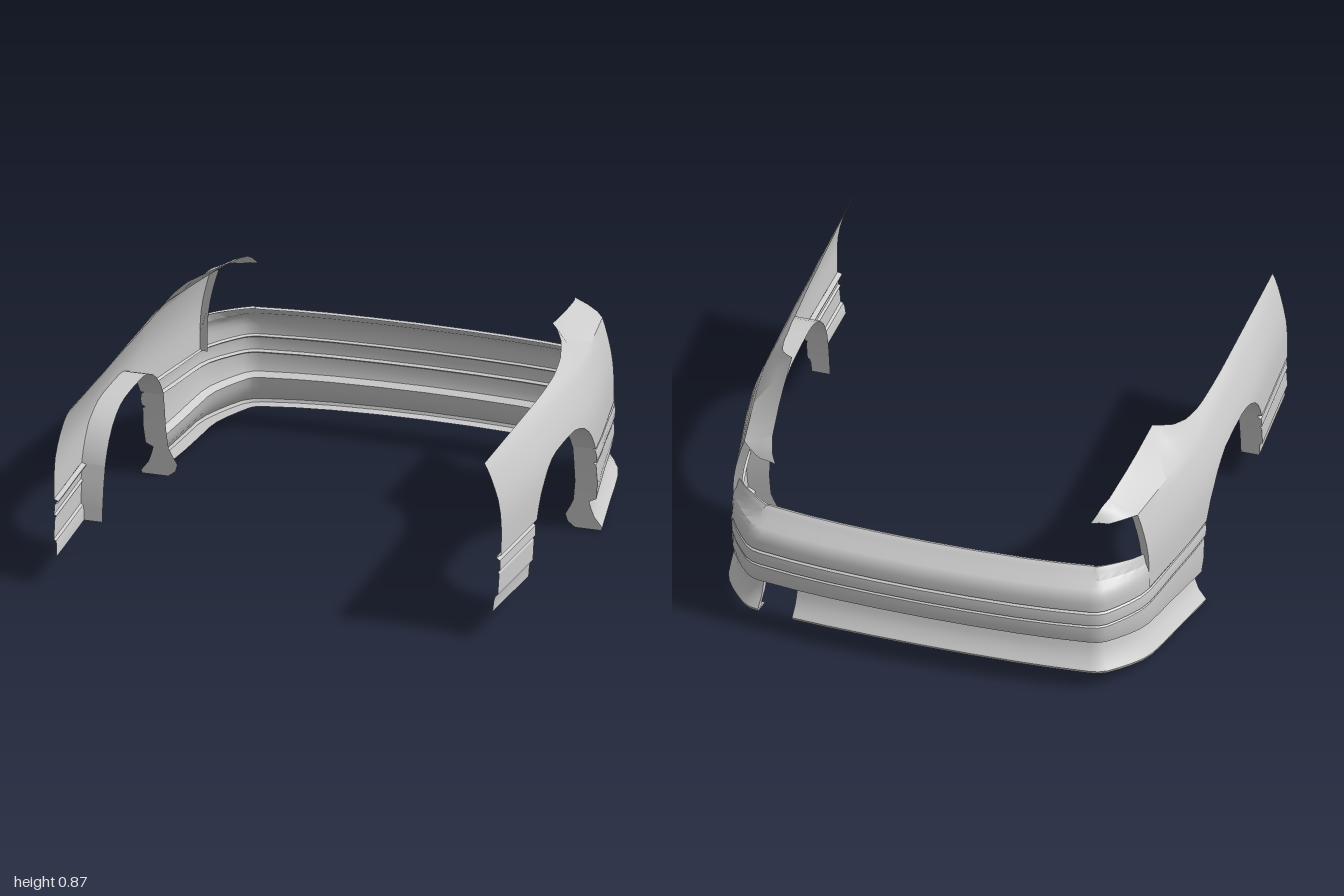
import * as THREE from 'three';
import { toCreasedNormals } from 'three/addons/utils/BufferGeometryUtils.js';

const material = new THREE.MeshStandardMaterial({ color: 0xcccccc, side: THREE.DoubleSide });

// piecewise linear lookup in an ascending table of [key, value]
function look(table, k) {
  if (k <= table[0][0]) return table[0][1];
  for (let i = 1; i < table.length; i++) {
    const [a, u] = table[i - 1], [b, v] = table[i];
    if (k <= b) return u + (v - u) * (k - a) / (b - a);
  }
  return table[table.length - 1][1];
}

// skin a list of cross-sections, each a list of [x, y, z]; mirror flips x
function skin(name, sections, mirror = 1, crease = 0.6) {
  const n = sections[0].length, index = [];
  for (let i = 0; i < sections.length - 1; i++) {
    for (let j = 0; j < n - 1; j++) {
      const a = i * n + j, b = a + n;
      if (mirror > 0) index.push(a, b, a + 1, b, b + 1, a + 1);
      else index.push(a, a + 1, b, b, a + 1, b + 1);
    }
  }
  const pos = sections.flat().flatMap(([x, y, z]) => [x * mirror, y, z]);
  const geo = new THREE.BufferGeometry();
  geo.setAttribute('position', new THREE.Float32BufferAttribute(pos, 3));
  geo.setIndex(index);
  const mesh = new THREE.Mesh(toCreasedNormals(geo, crease), material);
  mesh.name = name;
  return mesh;
}

// widest half width of the body along z
const bodyX = [[-0.71, 0.885], [-0.5, 0.925], [-0.35, 0.953], [-0.2, 0.975], [0, 0.98],
  [0.3, 0.98], [0.6, 0.973], [0.8, 0.963], [1, 0.955]];
// top edge of the quarter panel: height and half width along z
const topY = [[-0.71, 0.798], [-0.5, 0.835], [-0.28, 0.872], [-0.26, 0.862], [-0.2, 0.83],
  [-0.1, 0.795], [0, 0.775], [0.15, 0.765], [1, 0.762]];
const topX = [[-0.71, 0.715], [-0.5, 0.745], [-0.28, 0.765], [-0.26, 0.79], [-0.2, 0.83],
  [-0.1, 0.858], [0.05, 0.873], [0.3, 0.882], [1, 0.89]];
const shoulder = [[0.5, 0], [0.55, 0.006], [0.6, 0.018], [0.65, 0.035], [0.7, 0.055], [0.74, 0.075]];
const shoulderScale = [[-0.71, 0.65], [0, 1], [0.5, 1], [0.97, 0.75]];
const frontEdge = [[0.125, 1], [0.25, 0.968], [0.4, 0.957], [0.6, 0.955], [0.76, 0.972]];
const archFront = [[0.125, 0.588], [0.25, 0.575], [0.36, 0.548]];
const archRear = [[0, -0.255], [0.12, -0.246], [0.25, -0.235], [0.38, -0.208]];
const arch = [[0.548, 0.36], [0.525, 0.41], [0.495, 0.455], [0.45, 0.5], [0.4, 0.53], [0.35, 0.55],
  [0.29, 0.56], [0.18, 0.563], [0.06, 0.56], [0, 0.547], [-0.06, 0.523], [-0.11, 0.49],
  [-0.155, 0.45], [-0.185, 0.41], [-0.208, 0.375]];

const sideX = (y, z) => look(bodyX, z) - look(shoulder, y) * look(shoulderScale, z);

function panelSection(z, bottom, atFront) {
  const top = [look(topX, z), look(topY, z)];
  const heights = [0, 0.25, 0.5, 0.75, 1].map(t => bottom + (0.6 - bottom) * t).concat(0.65, 0.7, 0.74);
  const pts = heights.map(y => [sideX(y, z), y]);
  const [sx, sy] = pts[pts.length - 1];
  pts.push([sx + (top[0] - sx) * 0.55, sy + (top[1] - sy) * 0.45], top);
  return pts.map(([x, y]) => [x, y, atFront ? look(frontEdge, y) : z]);
}

function quarterPanel(side) {
  const group = new THREE.Group();
  group.name = side > 0 ? 'leftQuarterPanel' : 'rightQuarterPanel';

  // main skin from the door edge, over the arch, to the lamp opening
  const columns = [[0.96, 0.36], [0.85, 0.36], [0.7, 0.36], [0.61, 0.36], ...arch,
    [-0.24, 0.375], [-0.262, 0.375], [-0.282, 0.375], [-0.35, 0.375], [-0.45, 0.375],
    [-0.55, 0.375], [-0.65, 0.375], [-0.71, 0.375]];
  const sections = columns.map(([z, b], i) => panelSection(z, b, i === 0));
  group.add(skin('panelSkin', sections, side));

  // sill ahead of the wheel, with its moulding grooves
  const sillRows = [[0, 0.36], [0.02, 0.354], [0.018, 0.346], [0.004, 0.338], [0.002, 0.296],
    [0.012, 0.29], [0.006, 0.28], [0.006, 0.195], [0.016, 0.188], [0.02, 0.17], [0.022, 0.125]];
  const sill = [0, 0.33, 0.67, 1].map(t => sillRows.map(([d, y]) => {
    const z = THREE.MathUtils.lerp(look(frontEdge, y), look(archFront, y), t);
    return [look(bodyX, z) - d, y, z];
  }));
  group.add(skin('sill', sill, side, 0.4));

  // folded lip around the wheel opening
  const rim = [...sillRows].reverse().map(([d, y]) => {
    const z = look(archFront, y);
    return [look(bodyX, z) - d, y, z];
  }).concat(arch.slice(1).map(([z, y]) => [sideX(y, z), y, z]));
  group.add(skin('archLip', rim.map(p => [p, [0.873, p[1], p[2]]]), side));

  // turned edge of the lamp opening
  const edge = sections[sections.length - 1];
  group.add(skin('lampFlange', edge.slice(0, 8).map(p => [p, [p[0] - 0.035, p[1], p[2] + 0.01]]), side));

  // tongue wrapping behind the shoulder above the lamp
  const root = edge.slice(7);
  const tongue = [root,
    [[0.8, 0.745, -0.755], [0.757, 0.77, -0.757], [0.7, 0.79, -0.765]],
    [[0.765, 0.742, -0.785], [0.73, 0.76, -0.787], [0.69, 0.772, -0.795]],
    [[0.74, 0.738, -0.8], [0.705, 0.742, -0.81], [0.67, 0.74, -0.82]]];
  group.add(skin('shoulderTongue', tongue, side));
  return group;
}

// plan of half the bumper, from the wheel arch to the middle of the tail
const halfPlan = [[0.972, -0.235], [0.953, -0.35], [0.925, -0.5], [0.905, -0.62], [0.888, -0.71],
  [0.868, -0.765], [0.835, -0.82], [0.8, -0.868], [0.765, -0.91], [0.735, -0.93], [0.7, -0.94],
  [0.55, -0.96], [0.4, -0.973], [0.2, -0.982], [0, -0.985]];
const plan = [...halfPlan, ...halfPlan.slice(0, -1).reverse().map(([x, z]) => [-x, z])];
const seamY = [[-0.985, 0.21], [-0.9, 0.2], [-0.6, 0.165], [-0.235, 0.125]];
const skirtY = [[-0.985, 0.09], [-0.93, 0.075], [-0.8, 0.055], [-0.6, 0.028], [-0.4, 0.01], [-0.235, 0]];
const shelfScale = [[-0.93, 1], [-0.82, 0.65], [-0.71, 0.3]];

// offset rows of [inset, height] from the plan at station i
function bumperSection(i, rows) {
  const [x, z] = plan[i];
  const a = plan[Math.max(i - 1, 0)], b = plan[Math.min(i + 1, plan.length - 1)];
  const tx = b[0] - a[0], tz = b[1] - a[1], len = Math.hypot(tx, tz);
  const end = i === 0 || i === plan.length - 1;
  return rows(z).map(([d, y]) => [x + tz / len * d, y, end ? look(archRear, y) : z - tx / len * d]);
}

const upperRows = z => {
  const s = look(shelfScale, z);
  return [[0.115, 0.535], [0.1, 0.54], [0.08, 0.525], [0.06, 0.495], [0.025, 0.475],
    [0.008, 0.45], [0, 0.42], [0, 0.38]].map(([d, y]) => [d * s, y]);
};
const middleRows = z => {
  const m = look(seamY, z);
  return [[0, 0.38], [0.012, 0.374], [0, 0.366], [-0.004, 0.34], [-0.002, 0.312], [0.014, 0.306],
    [0.002, 0.298], [0, m + (0.298 - m) * 0.5], [0.008, m + 0.015], [0.04, m]];
};
const skirtRows = z => {
  const m = look(seamY, z), l = look(skirtY, z), h = m - l;
  return [[0.04, m], [0.032, l + h * 0.75], [0.018, l + h * 0.45], [-0.006, l + h * 0.2],
    [-0.015, l + h * 0.1], [-0.01, l], [0.05, l + 0.004]];
};

function bumper() {
  const group = new THREE.Group();
  group.name = 'rearBumper';
  const last = plan.length - 1;
  const band = (name, from, to, rows) => {
    const list = [];
    for (let i = from; i <= to; i++) list.push(bumperSection(i, rows));
    group.add(skin(name, list, 1, 0.5));
    return list;
  };
  band('bumperTop', 4, last - 4, upperRows);
  band('bumperBand', 0, last, middleRows);

  // lower skirt, open for the exhaust on the left
  const corner = band('leftSkirt', 0, 10, skirtRows);
  const tail = band('mainSkirt', 11, last, skirtRows);
  for (const s of [corner[10], tail[0]]) {
    group.add(skin('exhaustCutoutEdge', s.slice(0, 6).map(p => [p, [p[0], p[1], p[2] + 0.05]])));
  }

  // closing flanges behind the wheels
  const inner = [[0, 0.87], [0.04, 0.82], [0.12, 0.865], [0.2, 0.875]];
  const wall = [...bumperSection(0, middleRows), ...bumperSection(0, skirtRows).slice(1, 6)];
  for (const side of [1, -1]) {
    group.add(skin('wheelFlange', wall.map(p => [p, [look(inner, p[1]), p[1], p[2]]]), side));
  }
  return group;
}

export function createModel() {
  const model = new THREE.Group();
  model.name = 'rearBodyKit';
  model.add(quarterPanel(1), quarterPanel(-1), bumper());
  return model;
}
